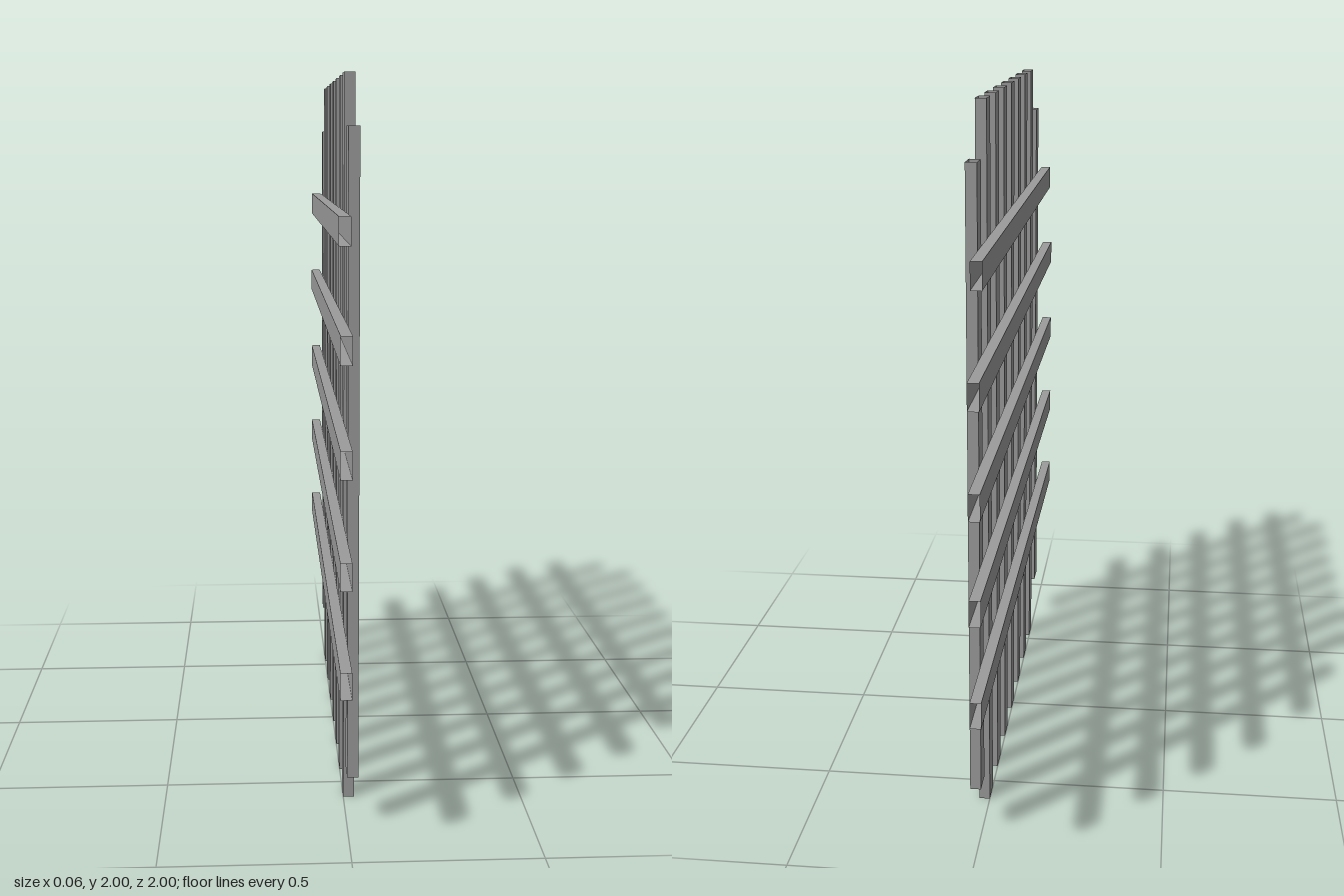
import * as THREE from 'three';

const WIDTH = 0.072;
const DEPTH = 0.03;

export function createModel() {
  const model = new THREE.Group();
  model.name = 'lattice';
  const material = new THREE.MeshStandardMaterial({
    color: 0x9b9b9b, flatShading: true, side: THREE.DoubleSide,
  });

  // Rectangular tube along y, open at both ends
  function bar(name, length) {
    const geometry = new THREE.CylinderGeometry(Math.SQRT1_2, Math.SQRT1_2, length, 4, 1, true, Math.PI / 4);
    geometry.scale(DEPTH, 1, WIDTH);
    const mesh = new THREE.Mesh(geometry, material);
    mesh.name = name;
    model.add(mesh);
    return mesh;
  }

  // Upright bars on the +x side, the outermost pair shorter
  for (let i = -4; i <= 4; i++) {
    const upright = bar('uprightBar', Math.abs(i) === 4 ? 1.72 : 2);
    upright.position.set(DEPTH / 2, 1, i * 0.1887);
  }

  // Cross bars on the -x side, the top one shorter
  for (let i = 0; i < 5; i++) {
    const cross = bar('crossBar', i === 4 ? 1.86 : 2);
    cross.rotation.x = Math.PI / 2;
    cross.position.set(-DEPTH / 2, 0.473 + i * 0.283, 0);
  }

  return model;
}
